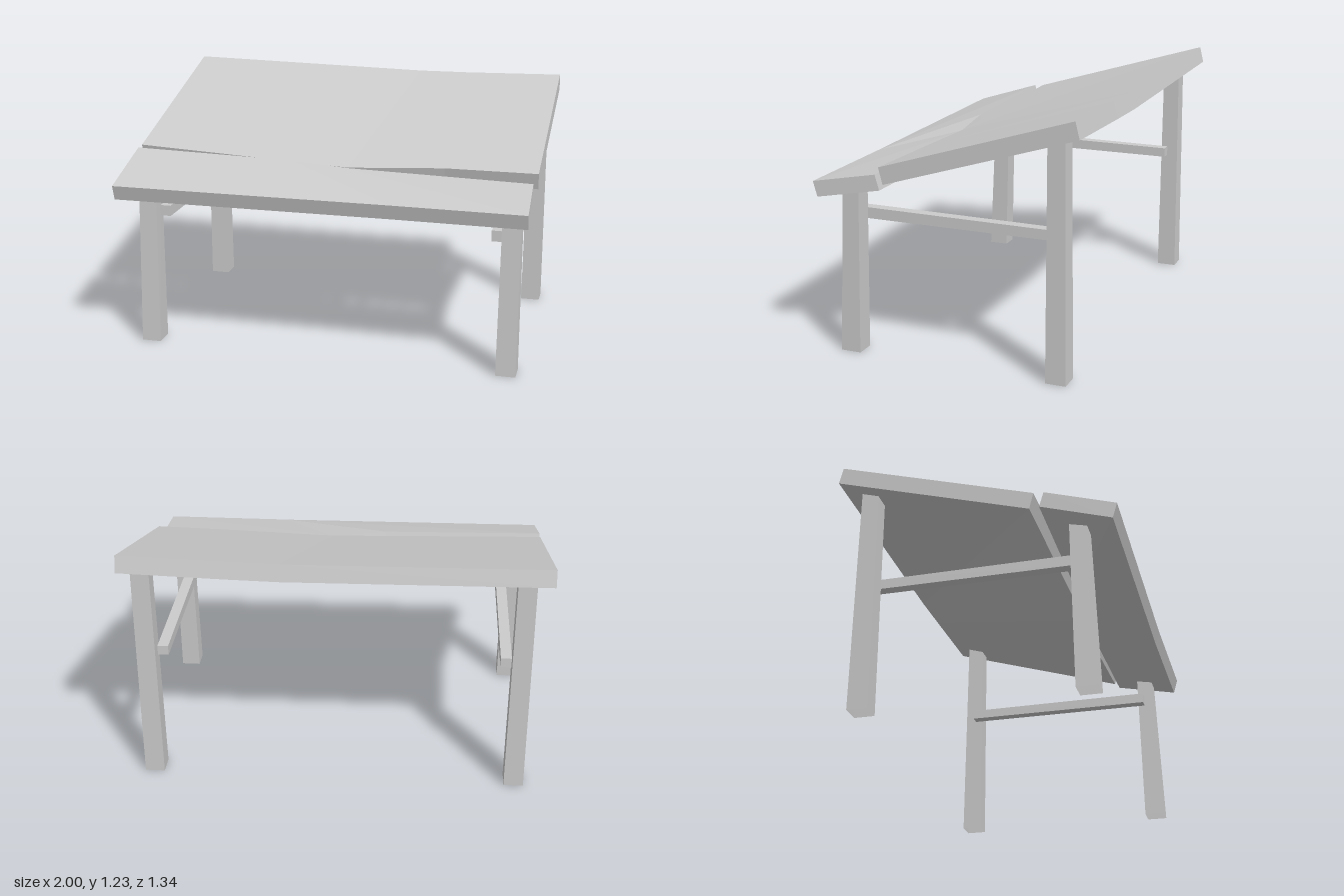
import * as THREE from 'three';

const material = new THREE.MeshStandardMaterial({ color: 0xcccccc, flatShading: true, side: THREE.DoubleSide });

// Joins four-cornered sections into a faceted beam; the first end may be left open.
function loft(name, rings, openStart = false) {
  const pos = [];
  const quad = (a, b, c, d) => pos.push(...a, ...b, ...c, ...a, ...c, ...d);
  for (let s = 0; s < rings.length - 1; s++) {
    const a = rings[s], b = rings[s + 1];
    for (let i = 0; i < 4; i++) {
      const j = (i + 1) % 4;
      quad(a[i], a[j], b[j], b[i]);
    }
  }
  const [p, q, r, t] = rings[0];
  if (!openStart) quad(p, t, r, q);
  quad(...rings[rings.length - 1]);
  const geometry = new THREE.BufferGeometry();
  geometry.setAttribute('position', new THREE.Float32BufferAttribute(pos, 3));
  geometry.computeVertexNormals();
  const mesh = new THREE.Mesh(geometry, material);
  mesh.name = name;
  return mesh;
}

// Board from stations of [back top edge, front top edge]; thickness drops square to the slope.
function board(name, stations, dy, dz) {
  const under = ([x, y, z]) => [x, y - dy, z - dz];
  return loft(name, stations.map(([back, front]) => [back, front, under(front), under(back)]));
}

// Leg section: corners at height y, where the top slopes with the board.
const section = (x0, x1, z0, z1, yBack, yFront) => [
  [x0, yBack, z0], [x0, yFront, z1], [x1, yFront, z1], [x1, yBack, z0],
];

export function createModel() {
  const group = new THREE.Group();

  // Wide warped board with an uneven front edge
  group.add(board('wideBoard', [
    [[-1, 1.23, -0.65], [-1, 0.948, 0.285]],
    [[0.25, 1.21, -0.643], [0.08, 0.907, 0.31]],
    [[0.5, 1.213, -0.64], [0.55, 0.93, 0.29]],
    [[1, 1.225, -0.637], [1, 0.935, 0.3]],
  ], 0.08, 0.02));

  // Narrow board, twisted down toward its left end
  group.add(board('narrowBoard', [
    [[-1, 0.945, 0.332], [-1, 0.838, 0.667]],
    [[-0.2, 0.93, 0.33], [0.33, 0.836, 0.645]],
    [[0.08, 0.905, 0.312], [0.36, 0.836, 0.645]],
    [[0.98, 0.893, 0.33], [0.995, 0.835, 0.645]],
  ], 0.073, 0.021));

  for (const [side, cx] of [['right', -0.883], ['left', 0.908]]) {
    const x0 = cx - 0.048, x1 = cx + 0.048;
    // Tapered legs, hollow underneath
    group.add(loft(side + 'FrontLeg', [
      section(x0, x1, 0.45, 0.55, 0, 0),
      section(x0 + 0.004, x1 - 0.004, 0.432, 0.515, 0.805, 0.785),
    ], true));
    group.add(loft(side + 'BackLeg', [
      section(x0, x1, -0.588, -0.49, 0, 0),
      section(x0 + 0.004, x1 - 0.004, -0.576, -0.494, 1.128, 1.105),
    ], true));

    // Side rail fixed to the inner faces of the legs
    const outer = cx - Math.sign(cx) * 0.046, inner = cx - Math.sign(cx) * 0.098;
    const a = Math.min(outer, inner), b = Math.max(outer, inner);
    group.add(loft(side + 'Rail', [
      [[a, 0.69, -0.525], [a, 0.642, -0.525], [b, 0.642, -0.525], [b, 0.69, -0.525]],
      [[a, 0.696, 0.47], [a, 0.643, 0.47], [b, 0.643, 0.47], [b, 0.696, 0.47]],
    ]));
  }
  return group;
}
